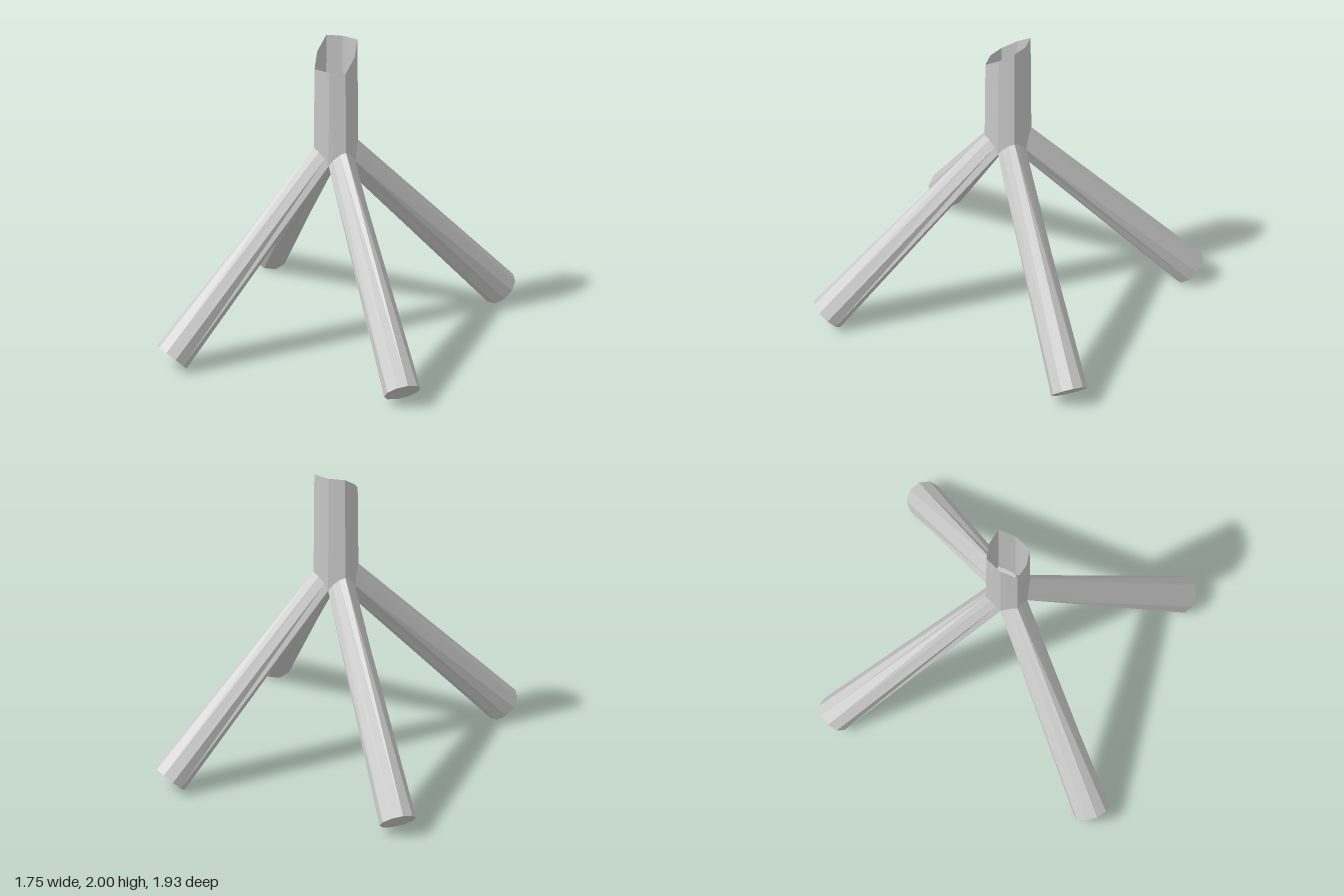
import * as THREE from 'three';

const V = (x, y, z) => new THREE.Vector3(x, y, z);
const material = new THREE.MeshStandardMaterial({
  color: 0xcccccc, flatShading: true, side: THREE.DoubleSide,
});

// Half of the mouth where a leg meets the trunk: outer corner, side crotch, inner edge
const HALF = [
  [0.108, 1.31, 0.108], [0.07, 1.29, 0.116], [0.028, 1.25, 0.125],
  [0, 1.21, 0.13], [0.02, 1.17, 0.065], [0.036, 1.145, 0.036],
].map((p) => V(...p));
const swap = (p) => V(p.z, p.y, p.x);
const MOUTH = [...HALF, ...HALF.slice(1, 5).reverse().map(swap)];

function meshFrom(name, triangles) {
  const geometry = new THREE.BufferGeometry().setFromPoints(triangles);
  geometry.computeVertexNormals();
  const mesh = new THREE.Mesh(geometry, material);
  mesh.name = name;
  return mesh;
}

// Wall between two closed rings, upper and lower
function wall(upper, lower) {
  return upper.flatMap((a, i) => {
    const j = (i + 1) % upper.length;
    return [a, lower[i], lower[j], a, lower[j], upper[j]];
  });
}

// Fan from a centre over a chain of points
function fan(centre, chain) {
  return chain.slice(1).flatMap((p, i) => [centre, p, chain[i]]);
}

// Splayed ten-sided leg, widening to a square-cut foot
function makeLeg(name, sx, sz) {
  const foot = V(0.775, 0.082, 0.87), radius = 0.118;
  const axis = foot.clone().sub(V(0.09, 1.2, 0.09)).normalize();
  const side = V(-1, 0, 1).addScaledVector(axis, -V(-1, 0, 1).dot(axis)).normalize();
  const out = V().crossVectors(side, axis).normalize();
  if (out.y < 0) out.negate();
  let lower = MOUTH.map((_, i) => {
    const t = (i / MOUTH.length) * Math.PI * 2;
    return foot.clone().addScaledVector(out, radius * Math.cos(t))
      .addScaledVector(side, radius * Math.sin(t));
  });
  const flip = V(sx, 1, sz);
  const place = (ring) => {
    const placed = ring.map((p) => p.clone().multiply(flip));
    return sx * sz > 0 ? placed.reverse() : placed;
  };
  const upper = place(MOUTH);
  lower = place(lower);
  return meshFrom(name, [
    ...wall(upper, lower),
    ...fan(foot.clone().multiply(flip), [...lower, lower[0]]),
  ]);
}

export function createModel() {
  const group = new THREE.Group();
  group.name = 'fourLeggedStand';

  // Trunk outline, one quarter turned four times
  const quarter = [HALF[3], HALF[2], HALF[1], HALF[0], swap(HALF[1]), swap(HALF[2])];
  const turn = (p, k) => {
    const q = p.clone();
    for (let i = 0; i < k; i++) q.set(q.z, q.y, -q.x);
    return q;
  };
  const bottom = [0, 1, 2, 3].flatMap((k) => quarter.map((p) => turn(p, k)));

  // Open top, cut on a slope from back to front
  const top = bottom.map((p) => {
    const x = p.x * 0.968, z = p.z * 0.968;
    return V(x, THREE.MathUtils.clamp(1.925 - z * 0.72, 1.85, 2), z);
  });
  group.add(meshFrom('trunk', wall(top, bottom)));

  // Star-shaped floor between the leg mouths
  const inner = [HALF[3], HALF[4], HALF[5], swap(HALF[4]), swap(HALF[3])];
  group.add(meshFrom('crotchFloor', [0, 1, 2, 3].flatMap(
    (k) => fan(V(0, 1.14, 0), inner.map((p) => turn(p, k))))));

  group.add(
    makeLeg('frontLeftLeg', 1, 1), makeLeg('frontRightLeg', -1, 1),
    makeLeg('backLeftLeg', 1, -1), makeLeg('backRightLeg', -1, -1),
  );
  return group;
}
